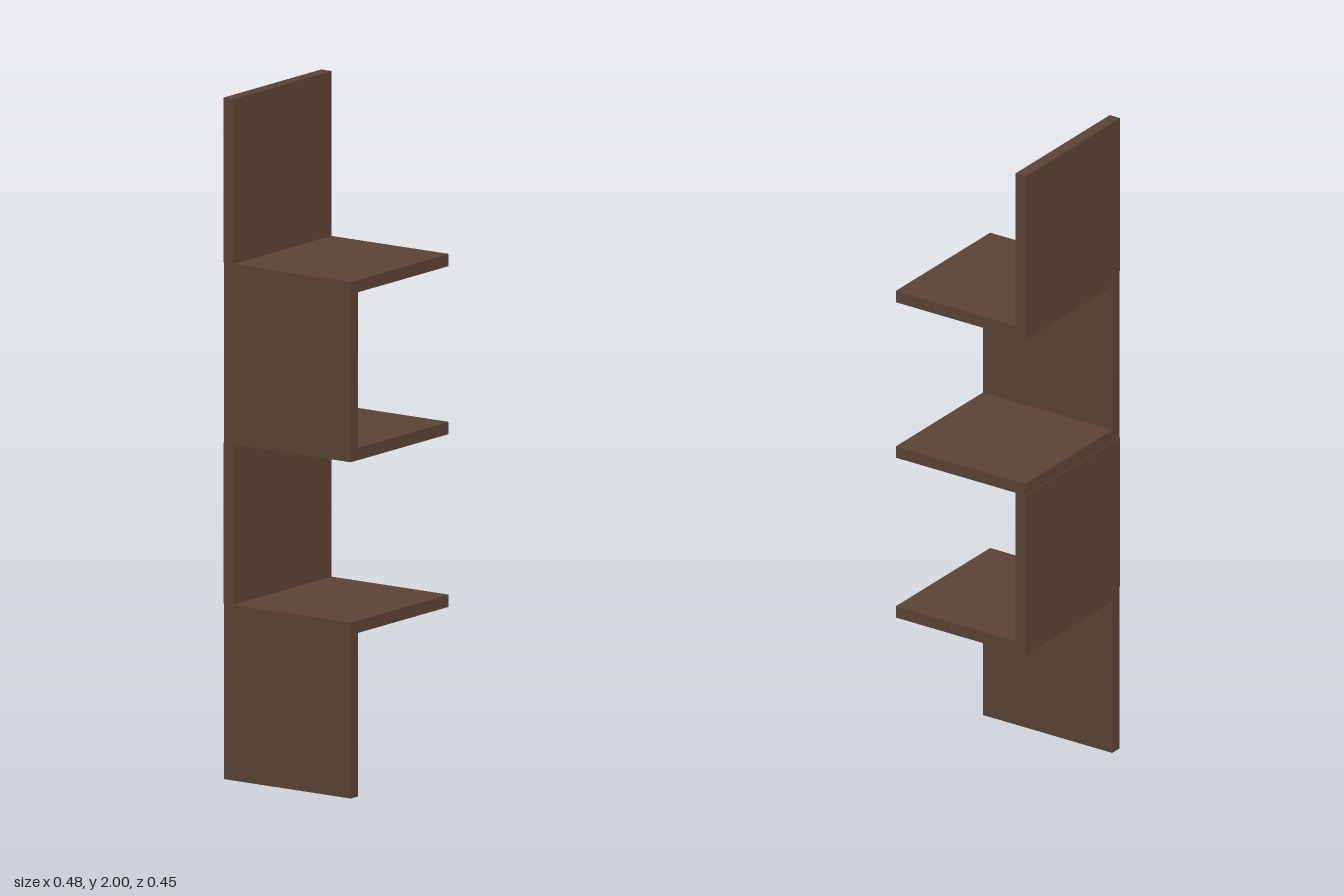
import * as THREE from 'three';

export function createModel() {
  const model = new THREE.Group();
  model.name = 'zigzagWallShelf';

  const wood = new THREE.MeshStandardMaterial({ color: 0x594235 });
  wood.name = 'dark brown wood';

  // Adds a board spanning two opposite corners
  function board(name, [x0, y0, z0], [x1, y1, z1]) {
    const mesh = new THREE.Mesh(new THREE.BoxGeometry(x1 - x0, y1 - y0, z1 - z0), wood);
    mesh.name = name;
    mesh.position.set((x0 + x1) / 2, (y0 + y1) / 2, (z0 + z1) / 2);
    model.add(mesh);
  }

  const left = -0.239, right = 0.238, back = -0.224, front = 0.226;
  const t = 0.036; // board thickness
  const shelfY = [0.48, 0.987, 1.48]; // undersides of the shelves

  // Three horizontal shelves
  shelfY.forEach((y, i) =>
    board(`shelf${i + 1}`, [left, y, back], [right, y + t, front]));

  // Side panels: below the first shelf and between the upper two
  board('lowerSidePanel', [left, 0, back], [left + t, shelfY[0], front]);
  board('upperSidePanel', [left, shelfY[1] + t, back], [left + t, shelfY[2], front]);

  // Back panels: between the lower two shelves and above the top one
  const rear = -0.227;
  board('lowerBackPanel', [left, shelfY[0] + t, rear], [right, shelfY[1], rear + t]);
  board('upperBackPanel', [left, shelfY[2] + t, rear], [right, 2, rear + t]);

  return model;
}
